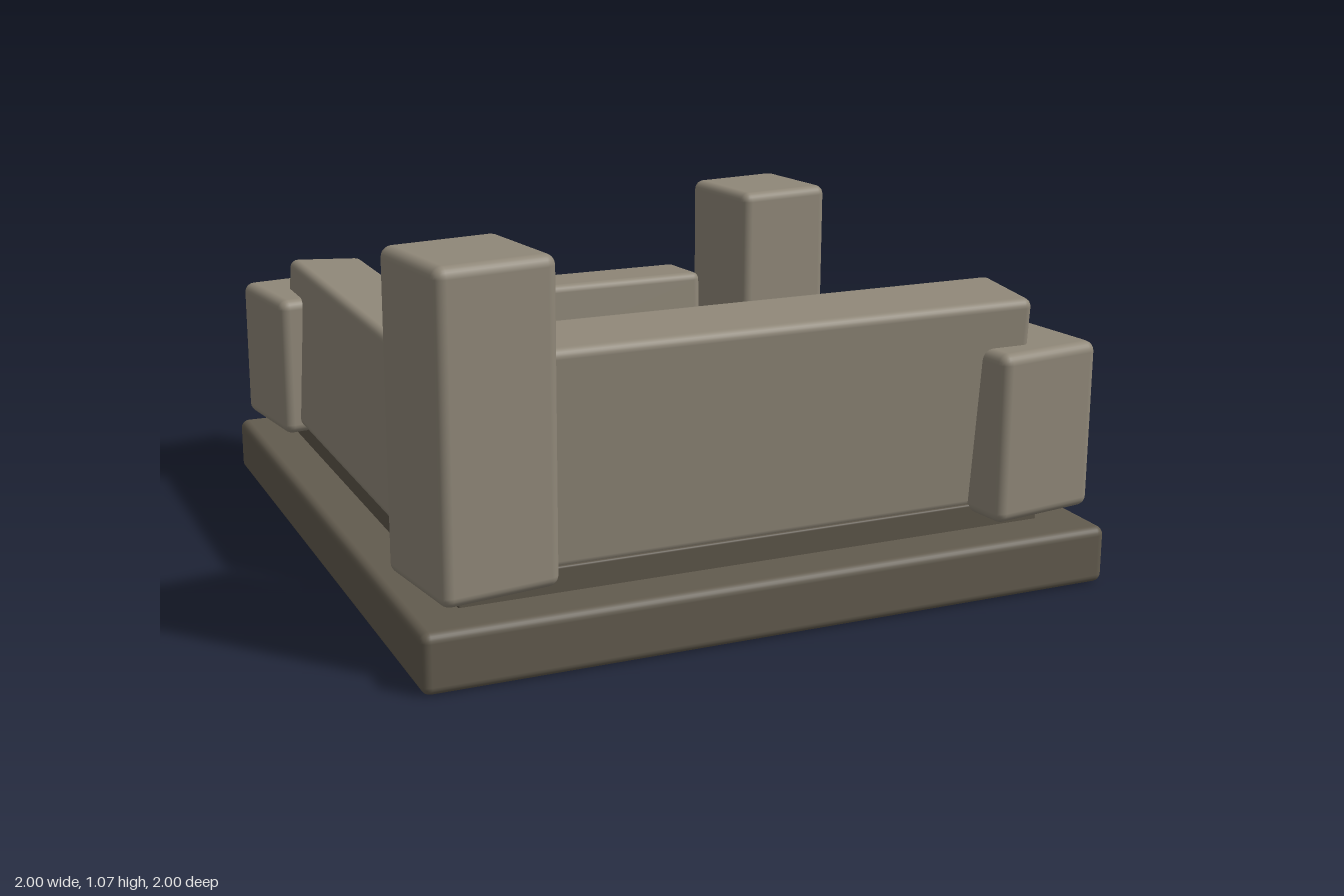
import * as THREE from 'three';
import { RoundedBoxGeometry } from 'three/addons/geometries/RoundedBoxGeometry.js';

const mat = (name, color) => new THREE.MeshStandardMaterial({ name, color });

export function createModel() {
  const group = new THREE.Group();
  const stone = mat('paleStone', 0x8f8778);
  const base = mat('darkStone', 0x625b4e);
  const floorMat = mat('floorStone', 0x5c5549);
  const wood = mat('wood', 0x7d4f28);

  // Block with softened edges: size, centre, rotation
  function block(name, material, size, pos, rot = [0, 0, 0], radius = 0.025) {
    const mesh = new THREE.Mesh(new RoundedBoxGeometry(...size, 3, radius), material);
    mesh.name = name;
    mesh.position.set(...pos);
    mesh.rotation.set(rot[0], rot[1], rot[2], 'YXZ');
    group.add(mesh);
    return mesh;
  }

  // Foundation and raised floor
  block('foundation', base, [2, 0.165, 2], [0, 0.0825, 0]);
  block('floor', floorMat, [1.72, 0.13, 1.72], [0, 0.17, 0], [0, 0, 0], 0.006);

  // Corner pillars, broken off at different heights
  const pillars = [[-1, 1, 1.07], [1, 1, 0.69], [1, -1, 0.862], [-1, -1, 0.64]];
  for (const [sx, sz, top] of pillars) {
    block('cornerPillar', stone, [0.333, top - 0.21, 0.333],
      [sx * 0.795, (top + 0.21) / 2, sz * 0.795], [0, 0.14, 0], 0.03);
  }

  // Leaning walls
  block('frontWall', stone, [1.58, 0.6, 0.24], [0, 0.53, 0.758], [0.085, 0, 0]);
  block('backWall', stone, [1.03, 0.36, 0.23], [0, 0.41, -0.767], [-0.06, 0, 0]);
  block('leftSideWall', stone, [0.235, 0.5, 1.18], [-0.757, 0.477, -0.213], [0, 0, -0.06]);
  block('rightSideWall', stone, [0.228, 0.25, 0.82], [0.753, 0.356, 0.137], [0, 0, 0.1]);

  // Rubble heap: size, centre, rotation
  const rubble = [
    [[0.2, 0.18, 0.2], [-0.385, 0.31, -0.265], [0.15, -0.1, 0.1]],
    [[0.2, 0.22, 0.25], [0.03, 0.33, -0.355], [0.25, -0.5, 0.12]],
    [[0.17, 0.16, 0.15], [0.22, 0.32, -0.42], [0.2, -0.4, 0.35]],
    [[0.23, 0.24, 0.32], [0.005, 0.42, -0.04], [0.35, -0.55, 0.15]],
    [[0.18, 0.17, 0.25], [0.21, 0.33, -0.08], [0.2, 0.45, 0.15]],
    [[0.2, 0.14, 0.13], [0.505, 0.3, -0.21], [0.1, 0.35, 0.12]],
    [[0.3, 0.2, 0.25], [-0.21, 0.34, 0.13], [0.08, 0, 0.1]],
    [[0.2, 0.18, 0.21], [0.41, 0.32, 0.27], [0.3, 0.35, -0.25]],
    [[0.21, 0.15, 0.15], [-0.485, 0.3, 0.34], [0.2, 0.65, 0.2]],
    [[0.3, 0.16, 0.14], [-0.075, 0.31, 0.41], [0.25, 0.04, 0.05]],
  ];
  for (const [size, pos, rot] of rubble) block('rubbleStone', stone, size, pos, rot, 0.028);

  // Fallen planks running between two points
  const planks = [
    [[-0.44, 0.28, -0.01], [-0.02, 0.37, -0.25]],
    [[-0.37, 0.26, 0.54], [-0.23, 0.33, -0.08]],
    [[0.36, 0.29, 0.26], [0.12, 0.34, -0.1]],
  ];
  for (const [a, b] of planks) {
    const p = new THREE.Vector3(...a), q = new THREE.Vector3(...b);
    const plank = new THREE.Mesh(new THREE.BoxGeometry(0.1, 0.05, p.distanceTo(q)), wood);
    plank.name = 'fallenPlank';
    plank.position.copy(p).lerp(q, 0.5);
    plank.lookAt(q);
    group.add(plank);
  }

  return group;
}
